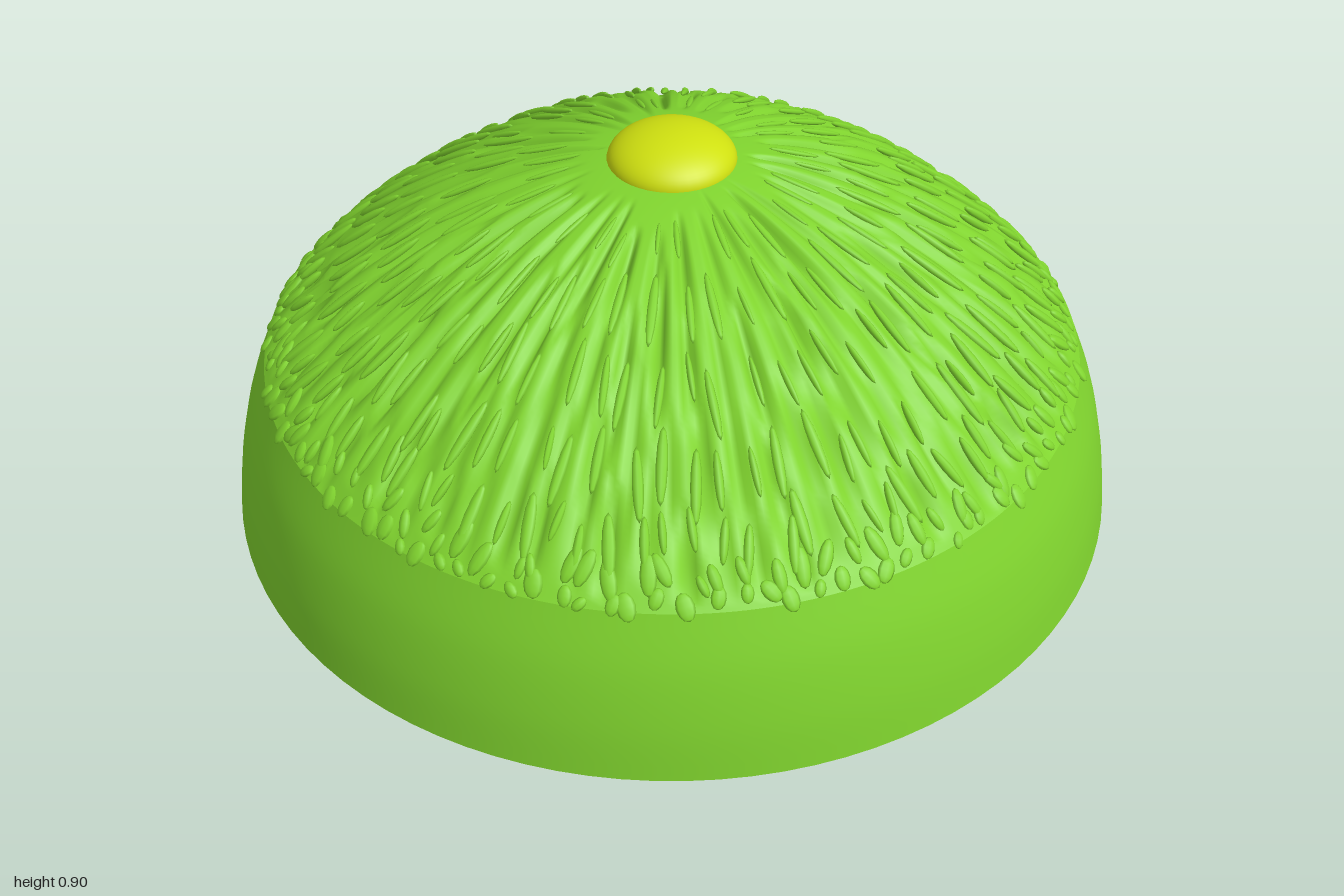
import * as THREE from 'three';
import { mergeGeometries, mergeVertices } from 'three/addons/utils/BufferGeometryUtils.js';

const V2 = (x, y) => new THREE.Vector2(x, y);
const green = new THREE.MeshStandardMaterial({ color: 0x80d42e });
const yellow = new THREE.MeshStandardMaterial({ color: 0xcfe010 });

// Profiles: smooth lower wall, and wrinkled crown meeting it at a soft shoulder
const wallCurve = new THREE.SplineCurve([V2(1, 0), V2(0.985, 0.12), V2(0.955, 0.25), V2(0.91, 0.37)]);
const crownCurve = new THREE.SplineCurve([
  V2(0.91, 0.37), V2(0.83, 0.455), V2(0.7, 0.567), V2(0.55, 0.672),
  V2(0.4, 0.752), V2(0.25, 0.808), V2(0.12, 0.834), V2(0, 0.838),
]);

function seeded(seed) {
  return () => {
    seed = (seed * 16807) % 2147483647;
    return seed / 2147483647;
  };
}

// Rows of radial grooves; u runs from the shoulder (0) to the apex (1)
function makeGrooveRows(random) {
  const layout = [[72, 0.04, 0.26], [64, 0.14, 0.44], [52, 0.28, 0.6], [36, 0.46, 0.78]];
  return layout.map(([count, u0, u1]) => ({
    count,
    grooves: Array.from({ length: count }, () => ({
      shift: (random() - 0.5) * 0.4,
      start: u0 + (random() - 0.5) * 0.08,
      end: u1 + (random() - 0.5) * 0.12,
      depth: 0.012 + random() * 0.022,
    })),
  }));
}

function grooveDepth(rows, angle, u) {
  let depth = 0;
  for (const { count, grooves } of rows) {
    const turn = (angle / (2 * Math.PI)) * count;
    const i = Math.floor(turn + 1e-6) % count;
    const g = grooves[i];
    const s = (u - g.start) / (g.end - g.start);
    if (s <= 0 || s >= 1) continue;
    const offset = Math.abs(turn - Math.floor(turn + 1e-6) - 0.5 - g.shift * 0.5);
    depth = Math.max(depth, g.depth * Math.sin(Math.PI * s) * Math.max(0, 1 - offset / 0.3));
  }
  return depth;
}

function makeCrown(random) {
  const rows = makeGrooveRows(random);
  const around = 360, up = 80;
  const geometry = new THREE.LatheGeometry(crownCurve.getPoints(up), around);
  const p = geometry.attributes.position;
  for (let i = 0; i < p.count; i++) {
    const u = (i % (up + 1)) / up;
    const column = Math.floor(i / (up + 1)) % around;
    const d = grooveDepth(rows, (column / around) * 2 * Math.PI, u);
    const r = Math.hypot(p.getX(i), p.getZ(i)) || 1;
    const k = 1 - (d * 0.5) / r;
    p.setXYZ(i, p.getX(i) * k, p.getY(i) - d * 0.85, p.getZ(i) * k);
  }
  geometry.deleteAttribute('uv');
  geometry.deleteAttribute('normal');
  const welded = mergeVertices(geometry, 1e-5);
  welded.computeVertexNormals();
  return welded;
}

// One slender scale lying half sunk in the crown, pointing down the slope
function makeScale(u, angle, length, width, height, twist) {
  const point = crownCurve.getPoint(u);
  const t = crownCurve.getTangent(u);
  const s = Math.sin(angle), c = Math.cos(angle);
  const along = new THREE.Vector3(-t.x * s, -t.y, -t.x * c);
  const normal = new THREE.Vector3(t.y * s, -t.x, t.y * c);
  along.applyAxisAngle(normal, twist);
  const side = new THREE.Vector3().crossVectors(normal, along);
  const geometry = new THREE.SphereGeometry(1, 8, 6);
  geometry.rotateX(Math.PI / 2);
  geometry.scale(width, height, length);
  const matrix = new THREE.Matrix4().makeBasis(side, normal, along);
  matrix.setPosition(point.x * s, point.y, point.x * c);
  return geometry.applyMatrix4(matrix);
}

function makeScales(random) {
  const parts = [];
  // [count, u, half length, half width, height, twist range]
  const bands = [
    [110, 0.03, 0.024, 0.016, 0.007, 1.6],
    [105, 0.085, 0.034, 0.014, 0.009, 1.0],
    [90, 0.16, 0.055, 0.011, 0.01, 0.45],
    [74, 0.27, 0.065, 0.01, 0.01, 0.25],
    [60, 0.4, 0.07, 0.009, 0.009, 0.2],
    [44, 0.54, 0.065, 0.008, 0.007, 0.15],
    [28, 0.68, 0.055, 0.007, 0.005, 0.12],
  ];
  for (const [count, u, length, width, height, twist] of bands) {
    for (let i = 0; i < count; i++) {
      const size = 0.7 + random() * 0.6;
      parts.push(makeScale(
        u + (random() - 0.5) * 0.05,
        ((i + (random() - 0.5) * 0.7) / count) * 2 * Math.PI,
        length * size, width * size, height, (random() - 0.5) * twist,
      ));
    }
  }
  return mergeGeometries(parts);
}

export function createModel() {
  const group = new THREE.Group();
  const random = seeded(4711);
  const add = (name, geometry, material) => {
    const mesh = new THREE.Mesh(geometry, material);
    mesh.name = name;
    group.add(mesh);
    return mesh;
  };

  add('lowerWall', new THREE.LatheGeometry(wallCurve.getPoints(16), 96), green);
  add('base', new THREE.CircleGeometry(1, 96).rotateX(Math.PI / 2), green);
  add('wrinkledCrown', makeCrown(random), green);
  add('crownScales', makeScales(random), green);

  // Rounded button on the apex
  const button = add('topButton', new THREE.SphereGeometry(0.14, 40, 16, 0, 2 * Math.PI, 0, Math.PI / 2), yellow);
  button.scale.y = 0.5;
  button.position.y = 0.828;
  return group;
}
